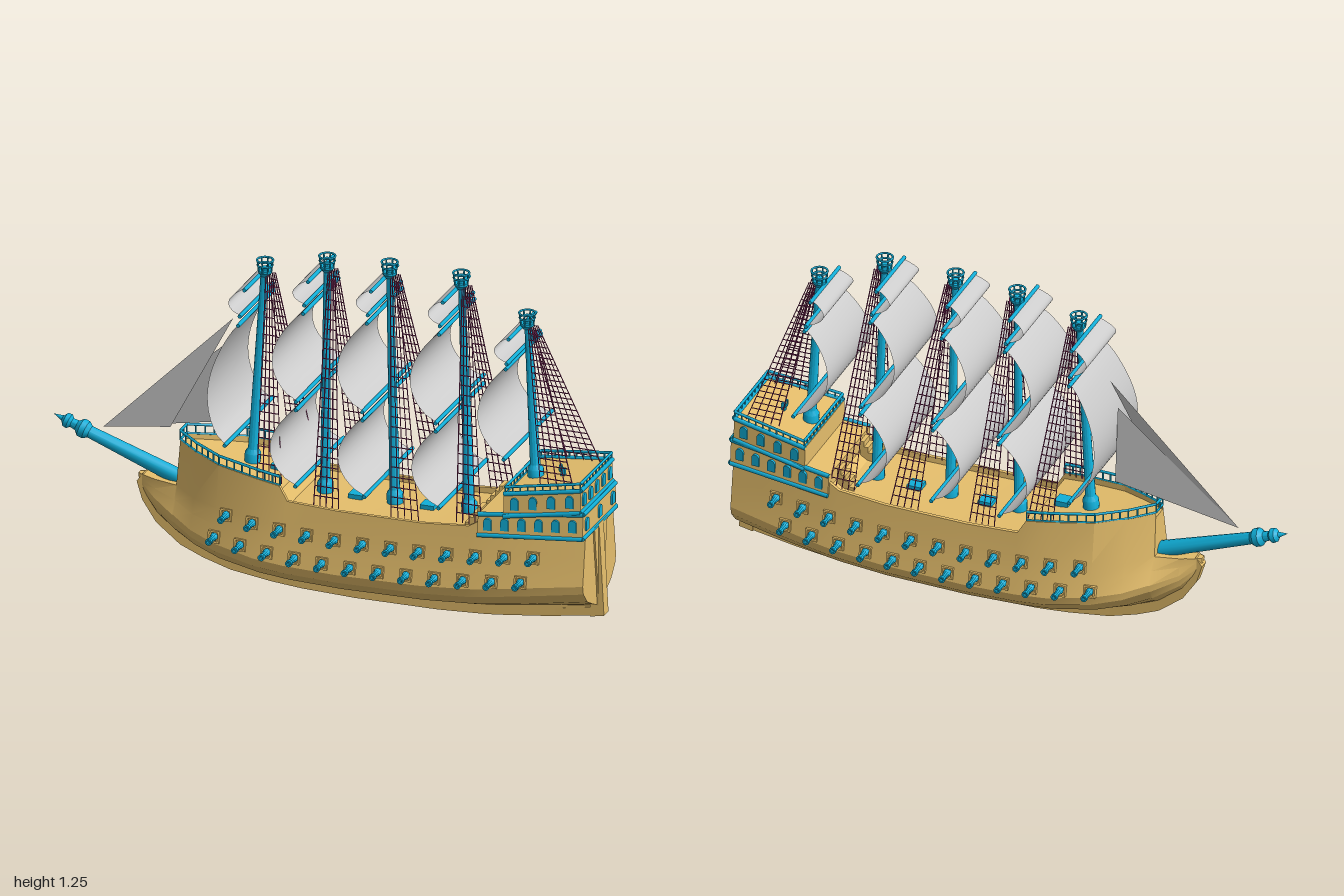
import * as THREE from 'three';
import { toCreasedNormals } from 'three/addons/utils/BufferGeometryUtils.js';

const V = (x, y, z) => new THREE.Vector3(x, y, z);
const lerp = THREE.MathUtils.lerp;
const wood = new THREE.MeshStandardMaterial({ color: 0xe6bf6c });
const blue = new THREE.MeshStandardMaterial({ color: 0x10b0da });
const rope = new THREE.MeshStandardMaterial({ color: 0x96346f });
const cloth = new THREE.MeshStandardMaterial({ color: 0xcccccc, side: THREE.DoubleSide });

function add(parent, name, geo, mat, x = 0, y = 0, z = 0) {
  const m = new THREE.Mesh(geo, mat);
  m.name = name;
  m.position.set(x, y, z);
  parent.add(m);
  return m;
}
function group(parent, name) {
  const g = new THREE.Group();
  g.name = name;
  parent.add(g);
  return g;
}
// Round bar between two points
function bar(parent, name, a, b, r, mat, sides = 6) {
  const m = add(parent, name, new THREE.CylinderGeometry(r, r, a.distanceTo(b), sides), mat);
  m.position.copy(a).add(b).multiplyScalar(0.5);
  m.quaternion.setFromUnitVectors(V(0, 1, 0), b.clone().sub(a).normalize());
}
const shape = pts => new THREE.Shape(pts.map(p => new THREE.Vector2(...p)));
const slab = (outline, depth) => new THREE.ExtrudeGeometry(outline, { depth, bevelEnabled: false, curveSegments: 6 })
  .translate(0, 0, -depth / 2);
const lathe = (pts, n = 12) => toCreasedNormals(
  new THREE.LatheGeometry(pts.map(p => new THREE.Vector2(...p)), n), 0.6);

// Skin over half outlines [z, y], mirrored in z, one per x, with both ends closed
function loft(sections) {
  const rings = sections.map(({ x, pts }) => [
    ...pts.map(([z, y]) => V(x, y, z)),
    ...pts.slice().reverse().map(([z, y]) => V(x, y, -z))]);
  const n = rings[0].length, out = [];
  const tri = (...ps) => ps.forEach(p => out.push(p.x, p.y, p.z));
  for (let i = 0; i < rings.length - 1; i++) for (let j = 0; j < n; j++) {
    const k = (j + 1) % n, [a, b, c, d] = [rings[i][j], rings[i][k], rings[i + 1][k], rings[i + 1][j]];
    tri(a, d, c); tri(a, c, b);
  }
  [rings[0], rings.at(-1)].forEach((r, e) => {
    const c = r.reduce((s, p) => s.add(p), V(0, 0, 0)).divideScalar(n);
    for (let j = 0; j < n; j++) e ? tri(c, r[(j + 1) % n], r[j]) : tri(c, r[j], r[(j + 1) % n]);
  });
  const g = new THREE.BufferGeometry();
  g.setAttribute('position', new THREE.Float32BufferAttribute(out, 3));
  g.computeVertexNormals();
  return toCreasedNormals(g, 0.25);
}

// Hull stations: x, keel y, widest y, beam, wale beam, wale y, top beam, top y
const S = [
  [-0.69, .315, .325, .01, .01, .335, .01, .336], [-0.67, .25, .3, .02, .02, .335, .018, .336],
  [-0.62, .175, .27, .048, .035, .33, .035, .331], [-0.535, .108, .24, .098, .055, .33, .055, .331],
  [-0.53, .105, .24, .1, .058, .33, .03, .49], [-0.45, .072, .215, .145, .115, .32, .085, .477],
  [-0.35, .042, .195, .182, .158, .32, .138, .465], [-0.2, .022, .175, .21, .185, .31, .168, .45],
  [-0.115, .015, .17, .216, .192, .3, .176, .44], [-0.085, .013, .168, .217, .193, .3, .18, .39],
  [0.1, .008, .165, .22, .196, .3, .186, .385], [0.4, .012, .17, .215, .192, .3, .182, .387],
  [0.57, .022, .18, .206, .186, .31, .176, .4], [0.62, .027, .185, .202, .183, .31, .172, .43],
  [0.8, .05, .21, .184, .165, .33, .15, .45], [0.975, .08, .23, .155, .14, .33, .12, .46]];
const LOWER = [[.1, 0], [.1, .2], [.38, .33], [.72, .52], [.96, .8], [1, 1]];
function station(x) {
  let i = 0;
  while (i < S.length - 2 && S[i + 1][0] < x) i++;
  const t = (x - S[i][0]) / (S[i + 1][0] - S[i][0]);
  return S[i].map((v, k) => lerp(v, S[i + 1][k], t));
}

function buildHull(root) {
  const g = group(root, 'hull');
  add(g, 'hullShell', loft(S.map(([x, ky, ym, B, W, yw, T, yt]) => ({
    x, pts: [...LOWER.map(([w, h]) => [B * w, lerp(ky, ym, h)]),
      [lerp(B, W, .55), lerp(ym, yw, .5)], [W, yw], [T, yt],
      [T * .93, yt], [T * .92, yt - Math.min(.02, (yt - yw) * .5)]]
  }))), wood);
  // Keel and stem strip, stern post and its tapered fairing
  const keel = shape([...S.map(s => [s[0] - .003, s[1] - .008]), ...S.slice().reverse().map(s => [s[0] + .02, s[1] + .025])]);
  add(g, 'keel', slab(keel, .036), wood);
  add(g, 'sternPost', slab(shape([[.95, .065], [1, .075], [.982, .41], [.95, .41]]), .042), wood);
  const fairing = shape([[-.02, .1], [.02, .1], [.03, .2], [.05, .33], [.06, .41], [-.06, .41], [-.05, .33], [-.03, .2]]);
  add(g, 'sternFairing', slab(fairing, .01), wood, .976).rotation.y = Math.PI / 2;
  // Hatches, steps and steering wheel on the decks
  for (const [x, y] of [[-.18, .437], [.1, .371], [.36, .372]])
    add(g, 'hatch', new THREE.BoxGeometry(.05, .02, .05), blue, x, y, 0);
  for (const s of [-1, 1]) for (let i = 0; i < 4; i++)
    add(g, 'step', new THREE.BoxGeometry(.015, .02 * (i + 1), .05), wood, .545 + i * .015, .37 + .01 * (i + 1), s * .1);
  add(g, 'wheelStand', new THREE.BoxGeometry(.014, .03, .014), blue, .845, .57, 0);
  add(g, 'wheel', new THREE.TorusGeometry(.012, .003, 6, 14).rotateY(Math.PI / 2), blue, .835, .585, 0);
}

// Posts and handrail along a path
function railing(parent, path, h, gap) {
  const g = group(parent, 'railing'), up = V(0, h, 0);
  for (let i = 0; i < path.length - 1; i++) {
    const a = path[i], b = path[i + 1], n = Math.max(1, Math.round(a.distanceTo(b) / gap));
    bar(g, 'handrail', a.clone().add(up), b.clone().add(up), .005, blue);
    bar(g, 'footRail', a, b, .004, blue);
    for (let k = 0; k <= n; k++) {
      const p = a.clone().lerp(b, k / n);
      bar(g, 'railPost', p, p.clone().add(up), .003, blue, 5);
    }
  }
}

// One storey of the stern gallery; ends are [x, bottom y, top y, bottom beam, top beam]
function storey(parent, A, B, count, sternCount) {
  const g = group(parent, 'sternGallery');
  add(g, 'galleryWall', loft([A, B].map(([x, yb, yt, hb, ht]) => ({ x, pts: [[hb, yb], [ht, yt]] }))), wood);
  const arch = shape([[-.014, -.02], [.014, -.02], [.014, .01]]).absarc(0, .01, .014, 0, Math.PI).lineTo(-.014, -.02);
  const pane = slab(arch, .012);
  for (const k of [1, 2]) {
    const c = s => V(A[0], A[k], s * A[k + 2]), d = s => V(B[0], B[k], s * B[k + 2]);
    for (const s of [-1, 1]) bar(g, 'trim', c(s), d(s), .008, blue);
    bar(g, 'trim', d(-1), d(1), .008, blue);
  }
  for (let i = 0; i < count; i++) {
    const p = A.map((v, k) => lerp(v, B[k], (i + .6) / (count + .2)));
    for (const s of [-1, 1]) {
      const w = add(g, 'window', pane, blue, p[0], (p[1] + p[2]) / 2, s * (p[3] + p[4]) / 2);
      w.rotation.y = s * (A[3] - B[3]) / (B[0] - A[0]);
    }
  }
  for (let i = 0; i < sternCount; i++)
    add(g, 'sternWindow', pane, blue, B[0], (B[1] + B[2]) / 2, (i / (sternCount - 1) - .5) * .24).rotation.y = Math.PI / 2;
}

function buildGuns(root) {
  const g = group(root, 'guns');
  const q = r => [[-r, -r], [r, -r], [r, r], [-r, r]];
  const frame = shape(q(.021));
  frame.holes.push(shape(q(.015)));
  const frameGeo = slab(frame, .02);
  const barrel = lathe([[0, -.03], [.013, -.03], [.013, .008], [.011, .012], [.009, .04], [.012, .043],
    [.012, .056], [.006, .056], [.006, .045], [0, .045]], 10).rotateX(Math.PI / 2);
  for (const [x0, base, rise] of [[-.31, .284, .028], [-.35, .197, .03]]) for (let i = 0; i < 12; i++) {
    const x = x0 + i * .101, y = base + rise * ((x - .17) / .6) ** 2;
    const [, , ym, B, W, yw] = station(x), t = THREE.MathUtils.clamp((y - ym) / (yw - ym), 0, 1);
    for (const s of [-1, 1]) {
      const gun = group(g, 'gun');
      gun.position.set(x, y, s * lerp(B, W, t));
      if (s < 0) gun.rotation.y = Math.PI;
      add(gun, 'gunPort', frameGeo, wood).rotation.x = -Math.atan2(B - W, yw - ym);
      add(gun, 'barrel', barrel, blue);
    }
  }
}

// Square sail bellied towards the bow, with a yard at head and foot
function sail(parent, axis, [yb, yt, hb, ht, belly]) {
  const geo = new THREE.PlaneGeometry(1, 1, 2, 16), p = geo.attributes.position;
  for (let i = 0; i < p.count; i++) {
    const t = p.getY(i) + .5;
    const y = lerp(yb, yt, t);
    p.setXYZ(i, axis(y) - .024 - belly * Math.max(0, Math.sin(Math.PI * t ** .85)) ** .8, y, p.getX(i) * 2 * lerp(hb, ht, t));
  }
  geo.computeVertexNormals();
  add(parent, 'sail', geo, cloth);
  for (const [y, h] of [[yb, hb], [yt, ht]])
    bar(parent, 'yard', V(axis(y) - .022, y, -h - .012), V(axis(y) - .022, y, h + .012), .007, blue, 8);
}

// Rope ladder from the masthead down to the ship's side
function shroud(parent, top, foot, width, s) {
  const g = group(parent, 'shroud'), ropes = 5, rungs = 24;
  const at = (u, t) => V(lerp(top.x + u * .025, foot.x + u * width, t), lerp(top.y, foot.y, t), s * lerp(.012, foot.z, t));
  for (let i = 0; i < ropes; i++) bar(g, 'rope', at(i / (ropes - 1), 0), at(i / (ropes - 1), 1), .002, rope, 4);
  for (let j = 1; j < rungs; j++) bar(g, 'rung', at(0, j / rungs), at(1, j / rungs), .002, rope, 4);
}

function buildMast(root, { foot, top, net, sails }) {
  const g = group(root, 'mast');
  const [fx, fy] = foot, [tx, ty] = top, L = Math.hypot(tx - fx, ty - fy);
  const axis = y => lerp(fx, tx, (y - fy) / (ty - fy));
  const pole = add(g, 'mastPole', lathe([[0, -.03], [.028, -.03], [.028, .02], [.018, .035], [.012, L - .04], [.012, L - .03], [0, L - .03]]), blue, fx, fy, 0);
  pole.rotation.z = -Math.atan2(tx - fx, ty - fy);
  // Lookout basket
  const nest = group(g, 'lookout');
  nest.position.set(tx, ty - .05, 0);
  add(nest, 'basketFloor', lathe([[0, -.012], [.014, -.012], [.024, .002], [.024, .01], [0, .01]]), blue);
  for (const [y, r] of [[.028, .026], [.046, .028]])
    add(nest, 'basketRing', new THREE.TorusGeometry(r, .0035, 6, 16).rotateX(Math.PI / 2), blue, 0, y, 0);
  for (let i = 0; i < 8; i++) {
    const c = Math.cos(i * Math.PI / 4), s = Math.sin(i * Math.PI / 4);
    bar(nest, 'basketPost', V(.023 * c, .005, .023 * s), V(.028 * c, .046, .028 * s), .003, blue, 5);
  }
  for (const s of sails) sail(g, axis, s);
  for (const s of [-1, 1]) shroud(g, V(tx + .008, ty - .05, 0), V(net[0], net[2], net[3]), net[1] - net[0], s);
}

export function createModel() {
  const root = new THREE.Group();
  root.name = 'sailingShip';
  buildHull(root);
  buildGuns(root);

  // Stern castle
  storey(root, [.605, .378, .45, .188, .178], [.975, .405, .492, .158, .15], 6, 3);
  storey(root, [.695, .455, .535, .176, .17], [.965, .498, .577, .152, .147], 4, 5);
  railing(root, [V(.7, .535, -.168), V(.963, .577, -.145), V(.963, .577, .145), V(.7, .535, .168), V(.7, .535, -.168)], .025, .028);
  // Forecastle rail
  const edge = S.slice(4, 9).map(s => V(s[0], s[7], s[6] * .96));
  railing(root, [...edge.slice().reverse(), ...edge.map(p => V(p.x, p.y, -p.z))], .032, .03);

  // Masts; sails are [foot y, head y, foot half width, head half width, belly]
  const full = [[.47, .75, .215, .215, .095], [.78, 1.08, .215, .155, .1], [1.107, 1.18, .145, .112, .05]];
  [
    { foot: [-.28, .45], top: [-.235, 1.185], net: [-.205, -.115, .44, .155], sails: [[.58, 1.0, .215, .155, .085], [1.03, 1.115, .145, .115, .05]] },
    { foot: [-.017, .38], top: [-.01, 1.235], net: [.005, .095, .385, .165], sails: full },
    { foot: [.235, .38], top: [.216, 1.248], net: [.285, .385, .385, .165], sails: full },
    { foot: [.505, .385], top: [.475, 1.248], net: [.52, .61, .4, .16], sails: full },
    { foot: [.745, .55], top: [.714, 1.138], net: [.81, .93, .57, .125], sails: [[.685, .99, .215, .155, .1], [1.005, 1.083, .145, .115, .05]] },
  ].forEach(m => buildMast(root, m));

  // Bowsprit with turned knob and pointed tip
  const a = V(-.535, .332, 0), b = V(-1, .5, 0), L = a.distanceTo(b);
  const sprit = add(root, 'bowsprit', lathe([[0, 0], [.029, 0], [.021, L - .14], [.032, L - .125], [.032, L - .105], [.018, L - .09],
    [.016, L - .07], [.026, L - .06], [.024, L - .045], [.01, L - .035], [0, L]]), blue);
  sprit.position.copy(a);
  sprit.quaternion.setFromUnitVectors(V(0, 1, 0), b.clone().sub(a).normalize());

  // Triangular headsails
  for (const pts of [[V(-.82, .48, 0), V(-.35, .95, 0), V(-.57, .525, .02)], [V(-.82, .48, 0), V(-.378, .85, 0), V(-.372, .565, -.01)]]) {
    const geo = new THREE.BufferGeometry().setFromPoints(pts);
    geo.computeVertexNormals();
    add(root, 'headsail', geo, cloth);
  }
  return root;
}
